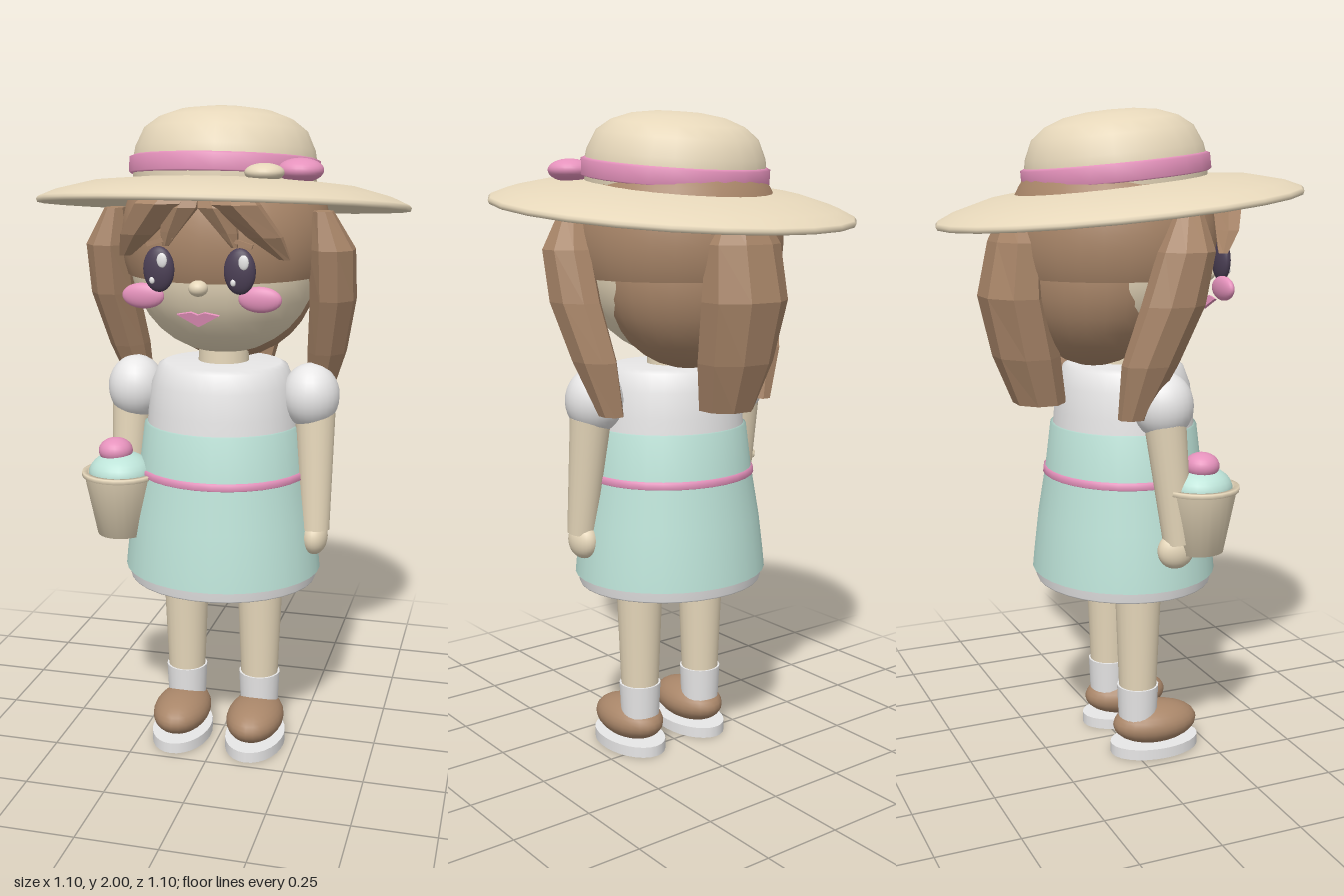
import * as THREE from 'three';

const mat = (name, color, side = THREE.FrontSide) => {
  const m = new THREE.MeshStandardMaterial({ color, side });
  m.name = name;
  return m;
};

export function createModel() {
  const root = new THREE.Group();
  root.name = 'girlWithSunHat';
  const cream = mat('cream', 0xe6d7ba, THREE.DoubleSide);
  const brown = mat('brown', 0xa98669, THREE.DoubleSide);
  const white = mat('white', 0xefeeee, THREE.DoubleSide);
  const mint = mat('mint', 0xbde3d8, THREE.DoubleSide);
  const pink = mat('pink', 0xe592bc, THREE.DoubleSide);
  const dark = mat('dark violet', 0x4b3f55);

  const add = (name, geo, material, pos = [0, 0, 0], parent = root) => {
    const mesh = new THREE.Mesh(geo, material);
    mesh.name = name;
    mesh.position.set(...pos);
    parent.add(mesh);
    return mesh;
  };
  const ball = (name, material, pos, r, parent = root) => {
    const mesh = add(name, new THREE.SphereGeometry(1, 24, 16), material, pos, parent);
    mesh.scale.set(...r);
    return mesh;
  };
  const lathe = (pts, seg = 32) =>
    new THREE.LatheGeometry(pts.map(p => new THREE.Vector2(...p)), seg, Math.PI / seg);

  // Tapered rod between two points
  const limb = (name, material, a, b, ra, rb) => {
    const A = new THREE.Vector3(...a), B = new THREE.Vector3(...b);
    const mesh = add(name, new THREE.CylinderGeometry(ra, rb, A.distanceTo(B), 20), material,
      A.clone().add(B).multiplyScalar(0.5).toArray());
    mesh.quaternion.setFromUnitVectors(new THREE.Vector3(0, 1, 0), A.sub(B).normalize());
    return mesh;
  };

  // Faceted hair lock through oval sections [x, y, z, rx, rz], top to bottom
  const lock = (name, sections, sides = 8) => {
    const pos = [], idx = [], n = sections.length;
    for (const [x, y, z, rx, rz] of sections)
      for (let i = 0; i < sides; i++) {
        const a = (i + 0.5) / sides * Math.PI * 2;
        pos.push(x + rx * Math.cos(a), y, z + rz * Math.sin(a));
      }
    for (const s of [sections[0], sections[n - 1]]) pos.push(s[0], s[1], s[2]);
    const top = n * sides, bottom = top + 1;
    for (let i = 0; i < sides; i++) {
      const j = (i + 1) % sides, last = (n - 1) * sides;
      idx.push(top, j, i, bottom, last + i, last + j);
      for (let k = 0; k < n - 1; k++) {
        const t = k * sides, b = t + sides;
        idx.push(t + i, t + j, b + i, t + j, b + j, b + i);
      }
    }
    const g = new THREE.BufferGeometry();
    g.setAttribute('position', new THREE.Float32BufferAttribute(pos, 3));
    g.setIndex(idx);
    const flat = g.toNonIndexed();
    flat.computeVertexNormals();
    return add(name, flat, brown);
  };

  // Head and neck
  ball('head', cream, [0, 1.55, 0], [0.285, 0.28, 0.28]);
  limb('neck', cream, [0, 1.32, 0.01], [0, 1.2, 0.01], 0.075, 0.08);

  // Hair: cap, back of the head and the three tails
  add('hairCap', new THREE.SphereGeometry(0.318, 28, 18, 0, Math.PI * 2, 0, 1.91), brown, [0, 1.62, -0.02]);
  ball('backHair', brown, [0, 1.51, -0.08], [0.27, 0.27, 0.23]);
  lock('backTail', [
    [0, 1.71, -0.31, 0.07, 0.05], [0, 1.62, -0.325, 0.125, 0.075], [0, 1.46, -0.335, 0.14, 0.1],
    [0, 1.28, -0.295, 0.12, 0.1], [0, 1.135, -0.255, 0.085, 0.08]]);

  // Face
  ball('nose', cream, [0, 1.505, 0.305], [0.028, 0.023, 0.028]);
  const lip = new THREE.Shape([[-0.062, 0.012], [-0.02, 0.02], [0, 0.012], [0.02, 0.02], [0.062, 0.012], [0, -0.024]]
    .map(p => new THREE.Vector2(...p)));
  const mouth = add('mouth', new THREE.ExtrudeGeometry(lip, { depth: 0.009, bevelEnabled: false }), pink, [0, 1.42, 0.3]);
  mouth.rotation.x = 0.25;

  for (const s of [1, -1]) {
    const side = s > 0 ? 'left' : 'right';
    ball(side + 'Eye', dark, [s * 0.118, 1.555, 0.295], [0.046, 0.065, 0.022]);
    ball(side + 'EyeShine', white, [s * 0.118 + 0.015, 1.582, 0.314], [0.015, 0.021, 0.006]);
    ball(side + 'EyeGlint', white, [s * 0.118 - 0.015, 1.525, 0.313], [0.008, 0.01, 0.005]);
    ball(side + 'Cheek', pink, [s * 0.172, 1.475, 0.275], [0.063, 0.037, 0.02]);
    const brow = add(side + 'Brow', new THREE.BoxGeometry(0.08, 0.012, 0.01), brown, [s * 0.115, 1.635, 0.292]);
    brow.rotation.z = -s * 0.3;

    // Fringe and side tail
    lock(side + 'Fringe', [
      [s * 0.07, 1.8, 0.27, 0.05, 0.03], [s * 0.11, 1.74, 0.31, 0.075, 0.045],
      [s * 0.185, 1.65, 0.275, 0.055, 0.035], [s * 0.235, 1.585, 0.24, 0.018, 0.015]], 6);
    lock(side + 'InnerFringe', [
      [s * 0.03, 1.8, 0.27, 0.04, 0.03], [s * 0.05, 1.73, 0.3, 0.055, 0.035],
      [s * 0.085, 1.66, 0.29, 0.03, 0.02], [s * 0.1, 1.62, 0.285, 0.01, 0.01]], 6);
    lock(side + 'SideTail', [
      [s * 0.315, 1.71, 0.09, 0.03, 0.04], [s * 0.34, 1.6, 0.07, 0.07, 0.085],
      [s * 0.34, 1.45, 0.03, 0.07, 0.095], [s * 0.315, 1.28, -0.03, 0.06, 0.085],
      [s * 0.285, 1.12, -0.07, 0.035, 0.045]]);

    // Arm
    ball(side + 'Sleeve', white, [s * 0.277, 1.152, 0.03], [0.088, 0.1, 0.09]);
    limb(side + 'Arm', cream, [s * 0.292, 1.1, 0.03], [s * 0.305, 0.74, 0.068], 0.062, 0.044);
    ball(side + 'Hand', cream, [s * 0.303, 0.715, 0.063], [0.04, 0.056, 0.058]);

    // Leg, sock and shoe
    limb(side + 'Leg', cream, [s * 0.122, 0.6, 0.02], [s * 0.122, 0.18, 0.02], 0.075, 0.058);
    limb(side + 'Sock', white, [s * 0.122, 0.225, 0.02], [s * 0.122, 0.1, 0.02], 0.066, 0.06);
    ball(side + 'Shoe', brown, [s * 0.122, 0.09, 0.08], [0.09, 0.064, 0.14]);
    const sole = add(side + 'Sole', new THREE.CylinderGeometry(1, 1, 0.034, 28), white, [s * 0.122, 0.017, 0.078]);
    sole.scale.set(0.094, 1, 0.147);
  }

  // Dress: bodice, skirt, ribbon and petticoat
  const dress = new THREE.Group();
  dress.name = 'dress';
  dress.position.z = 0.02;
  dress.scale.z = 0.92;
  root.add(dress);
  const wear = (name, pts, m) => add(name, lathe(pts), m, [0, 0, 0], dress);
  wear('bodice', [[0.237, 1.04], [0.232, 1.1], [0.222, 1.18], [0.2, 1.235], [0.18, 1.245], [0, 1.248]], white);
  wear('skirt', [[0.31, 0.59], [0.305, 0.64], [0.29, 0.76], [0.264, 0.91], [0.245, 1.055], [0.225, 1.058]], mint);
  wear('ribbon', [[0.264, 0.895], [0.271, 0.899], [0.269, 0.917], [0.26, 0.921]], pink);
  wear('petticoat', [[0, 0.556], [0.295, 0.556], [0.297, 0.56], [0.303, 0.6]], white);

  // Bucket with scoop and berry
  const bucket = new THREE.Group();
  bucket.name = 'bucket';
  bucket.position.set(-0.298, 0, 0.14);
  root.add(bucket);
  add('bucketWall', lathe([[0, 0.705], [0.075, 0.705], [0.112, 0.89], [0.12, 0.893], [0.12, 0.907], [0.104, 0.907], [0.1, 0.88], [0, 0.88]], 24),
    cream, [0, 0, 0], bucket);
  ball('scoop', mint, [0, 0.9, 0], [0.1, 0.066, 0.1], bucket);
  ball('berry', pink, [-0.015, 0.97, 0], [0.053, 0.04, 0.053], bucket);

  // Sun hat, tipped back
  const hat = new THREE.Group();
  hat.name = 'sunHat';
  hat.position.y = 1.788;
  hat.rotation.x = -0.105;
  root.add(hat);
  add('brim', lathe([[0.26, -0.025], [0.4, -0.04], [0.5, -0.062], [0.553, -0.08], [0.557, -0.07], [0.55, -0.062],
    [0.5, -0.04], [0.4, -0.014], [0.26, 0]], 24), cream, [0, 0, 0], hat);
  add('crown', lathe([[0.272, -0.01], [0.277, 0.04], [0.268, 0.09], [0.243, 0.145], [0.2, 0.178], [0.14, 0.2], [0.07, 0.21], [0, 0.212]], 24),
    cream, [0, 0, 0], hat);
  add('hatBand', lathe([[0.278, 0.012], [0.286, 0.016], [0.285, 0.06], [0.272, 0.066]], 24), pink, [0, 0, 0], hat);
  ball('pinkPompom', pink, [0.262, 1.828, 0.17], [0.066, 0.034, 0.066]);
  ball('creamPompom', cream, [0.175, 1.824, 0.245], [0.056, 0.026, 0.056]);

  return root;
}
